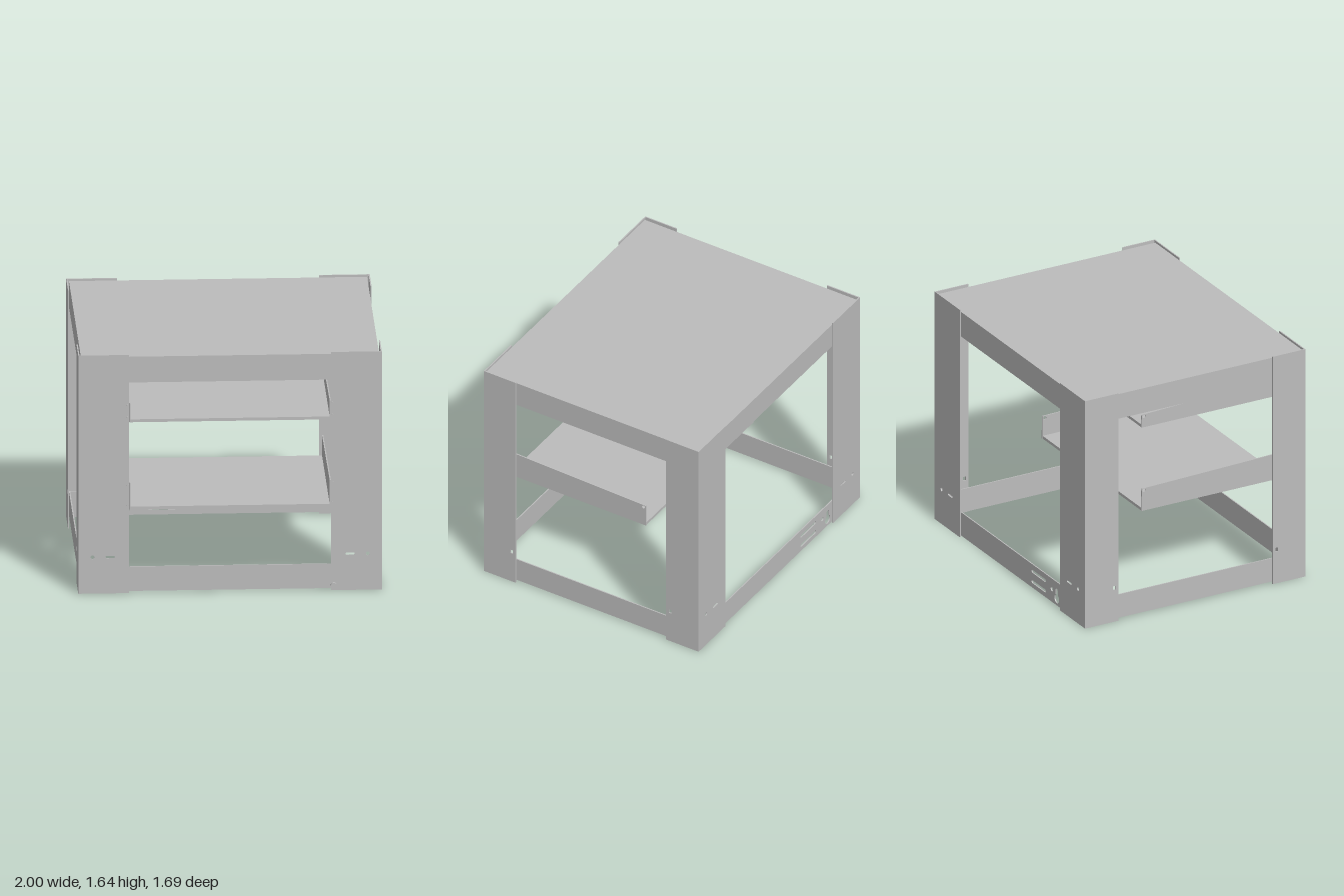
import * as THREE from 'three';

const metal = new THREE.MeshStandardMaterial({ color: 0xbcbcbc });
metal.name = 'grey sheet metal';

// Closed outlines used for plates and their cut-outs
const poly = (pts) => new THREE.Shape(pts.map(([x, y]) => new THREE.Vector2(x, y)));
const rect = (x0, y0, x1, y1) => poly([[x0, y0], [x1, y0], [x1, y1], [x0, y1]]);
const circle = (x, y, r) => new THREE.Shape().absarc(x, y, r, 0, Math.PI * 2);
function slot(x, y, w, h) {
  const r = h / 2, d = w / 2 - r;
  const s = new THREE.Shape();
  s.absarc(x + d, y, r, -Math.PI / 2, Math.PI / 2);
  s.absarc(x - d, y, r, Math.PI / 2, Math.PI * 1.5);
  return s;
}
function keyhole(x, y) {
  const s = new THREE.Shape();
  s.absarc(x, y, 0.032, Math.PI * 0.65, Math.PI * 2.35);
  s.absarc(x, y + 0.06, 0.0145, 0, Math.PI);
  return s;
}

function add(parent, name, geometry) {
  const mesh = new THREE.Mesh(geometry, metal);
  mesh.name = name;
  parent.add(mesh);
  return mesh;
}

// Sheet in the XY plane, from z to z + t
function sheetXY(parent, name, shape, holes, z, t) {
  shape.holes = holes;
  const g = new THREE.ExtrudeGeometry(shape, { depth: t, bevelEnabled: false, curveSegments: 10 });
  return add(parent, name, g.translate(0, 0, z));
}

// Sheet in the ZY plane (outline given as z, y), from x to x + t
function sheetZY(parent, name, pts, holes, x, t) {
  const shape = poly(pts.map(([z, y]) => [-z, y]));
  shape.holes = holes;
  const g = new THREE.ExtrudeGeometry(shape, { depth: t, bevelEnabled: false, curveSegments: 10 });
  return add(parent, name, g.rotateY(Math.PI / 2).translate(x, 0, 0));
}

function box(parent, name, x0, x1, y0, y1, z0, z1) {
  const g = new THREE.BoxGeometry(x1 - x0, y1 - y0, z1 - z0);
  return add(parent, name, g.translate((x0 + x1) / 2, (y0 + y1) / 2, (z0 + z1) / 2));
}

const H = 1.645, T = 0.008;

// L-section corner post
function post(sx, front) {
  const g = new THREE.Group();
  g.name = (front ? 'front' : 'back') + (sx > 0 ? 'Left' : 'Right') + 'Post';
  const [zOut, zIn, zHole] = front ? [0.827, 0.58, 0.61] : [-0.842, -0.59, -0.62];
  sheetXY(g, 'wideFlange', rect(Math.min(sx, sx * 0.665), 0, Math.max(sx, sx * 0.665), H),
    [circle(sx * 0.907, 0.25, 0.013), slot(sx * 0.79, 0.25, 0.062, 0.015)],
    front ? zOut - T : zOut, T);
  const a = Math.min(zOut, zIn), b = Math.max(zOut, zIn);
  sheetZY(g, 'sideFlange', [[b, 0], [a, 0], [a, H], [b, H]],
    [rect(-zHole - 0.01, 0.23, -zHole + 0.01, 0.258)], sx > 0 ? 1 - T : -1, T);
  return g;
}

// Skirt around the top and around the base
function skirt(name, y0, y1, backHoles) {
  const g = new THREE.Group();
  g.name = name;
  const X = 0.982, zf = 0.819, zb = -0.834;
  sheetXY(g, 'frontRail', rect(-X, y0, X, y1), [], zf - T, T);
  sheetXY(g, 'backRail', rect(-X, y0, X, y1), backHoles, zb, T);
  for (const s of [-1, 1]) {
    box(g, 'sideRail', s * X - (s > 0 ? T : 0), s * X + (s < 0 ? T : 0), y0, y1, zb + T, zf - T);
  }
  return g;
}

// Tray with sloping cheeks, fixed to the front posts
function tray(name, y0, yFront, yBack, screws) {
  const g = new THREE.Group();
  g.name = name;
  box(g, 'trayFloor', -0.656, 0.656, y0, y0 + 0.02, -0.22, 0.828);
  for (const s of [-1, 1]) {
    sheetZY(g, 'trayCheek', [[0.833, y0], [-0.223, y0], [-0.22, yBack], [0.833, yFront]],
      [circle(0.203, yBack - 0.015, 0.012)], s > 0 ? 0.656 : -0.664, T);
    for (const y of screws) {
      const c = new THREE.CylinderGeometry(0.009, 0.009, 0.03, 12).rotateX(Math.PI / 2);
      add(g, 'screw', c.translate(s * 0.676, y, 0.818));
    }
  }
  return g;
}

export function createModel() {
  const model = new THREE.Group();
  model.name = 'shelfRack';

  for (const sx of [-1, 1]) for (const front of [true, false]) model.add(post(sx, front));

  // Top
  model.add(skirt('topSkirt', 1.452, 1.62, []));
  box(model, 'topPanel', -0.982, 0.982, 1.62, 1.63, -0.834, 0.819);

  // Base frame with hanging cut-outs in the back rail
  model.add(skirt('baseFrame', 0.012, 0.18, [
    slot(-0.37, 0.13, 0.19, 0.022), slot(-0.37, 0.055, 0.19, 0.022),
    circle(-0.545, 0.105, 0.016), keyhole(-0.61, 0.06),
  ]));

  // Trays
  model.add(tray('upperTray', 1.18, 1.312, 1.272, [1.293, 1.21]));
  model.add(tray('lowerTray', 0.577, 0.763, 0.738, [0.742, 0.605]));

  // Front knob
  const knob = new THREE.CylinderGeometry(0.02, 0.02, 0.026, 20).rotateX(Math.PI / 2);
  add(model, 'knob', knob.translate(0.683, 0.035, 0.832));

  return model;
}
